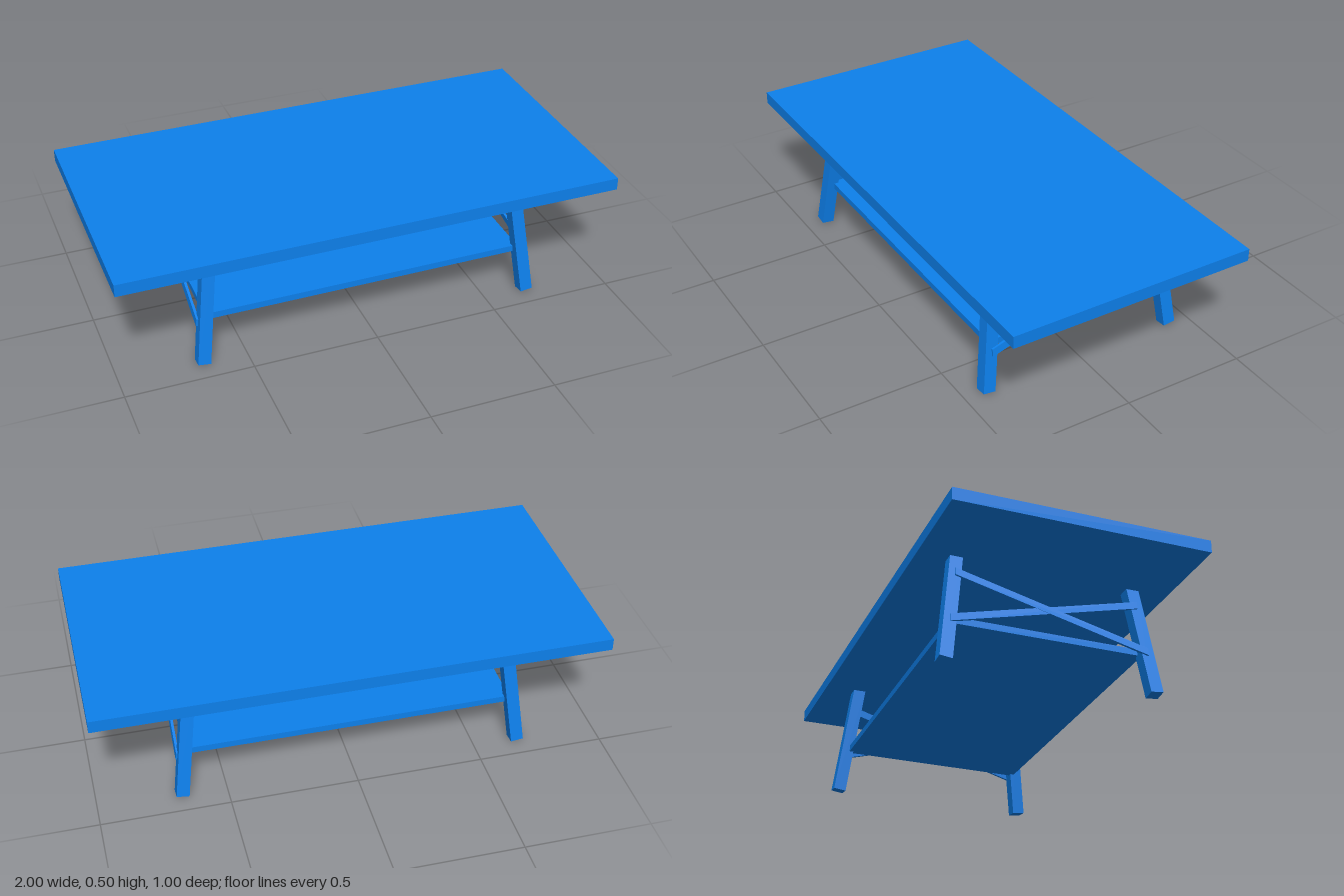
import * as THREE from 'three';

const TILT = THREE.MathUtils.degToRad(7);

export function createModel() {
  const table = new THREE.Group();
  table.name = 'table';
  const material = new THREE.MeshStandardMaterial({ color: 0x0d80ec, flatShading: true });

  const add = (name, geometry, x = 0, y = 0, z = 0) => {
    const mesh = new THREE.Mesh(geometry, material);
    mesh.name = name;
    mesh.position.set(x, y, z);
    table.add(mesh);
    return mesh;
  };

  // Table top and lower shelf
  add('tableTop', new THREE.BoxGeometry(2, 0.05, 1), 0, 0.475, 0);
  add('shelf', new THREE.BoxGeometry(1.29, 0.026, 0.76), 0, 0.187, 0);

  // Splayed legs, leaning inwards on both axes
  for (const sx of [-1, 1]) {
    for (const sz of [-1, 1]) {
      const name = (sz > 0 ? 'front' : 'back') + (sx > 0 ? 'Left' : 'Right') + 'Leg';
      const leg = add(name, new THREE.BoxGeometry(0.05, 0.47, 0.05), sx * 0.646, 0.2375, sz * 0.381);
      leg.rotation.set(-sz * TILT, 0, sx * TILT);
    }
  }

  // Thin cross braces lying on the outer faces of each leg pair, ends cut upright
  const brace = (side, dir) => {
    const geometry = new THREE.BoxGeometry(0.01, 0.03, 1);
    const p = geometry.attributes.position;
    const inset = dir > 0 ? 0.0015 : 0;
    for (let i = 0; i < p.count; i++) {
      const upper = p.getZ(i) * dir > 0;
      const z = dir * (upper ? 0.364 : -0.388);
      const y = (upper ? 0.379 : 0.175) + p.getY(i);
      const x = side * (0.703 - Math.tan(TILT) * y - inset) + p.getX(i);
      p.setXYZ(i, x, y, z);
    }
    geometry.computeVertexNormals();
    return geometry;
  };
  for (const side of [-1, 1]) {
    for (const dir of [-1, 1]) {
      add((side > 0 ? 'left' : 'right') + (dir > 0 ? 'Inner' : 'Outer') + 'Brace', brace(side, dir));
    }
  }

  return table;
}
